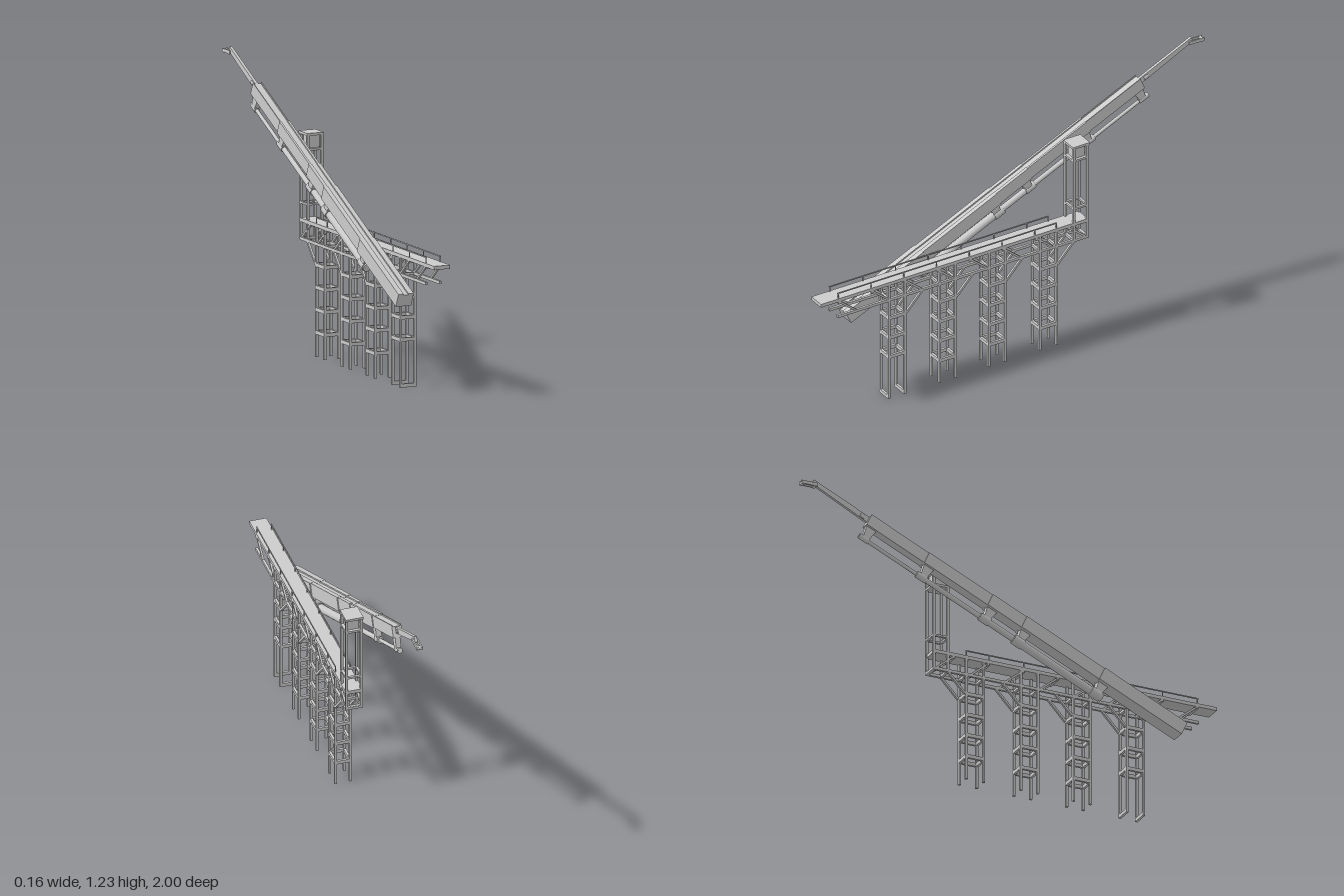
import * as THREE from 'three';

const mat = new THREE.MeshStandardMaterial({ color: 0xcccccc, flatShading: true, side: THREE.DoubleSide });
const smooth = new THREE.MeshStandardMaterial({ color: 0xcccccc });

function add(parent, name, geo, x = 0, y = 0, z = 0, material = mat) {
  const m = new THREE.Mesh(geo, material);
  m.name = name;
  m.position.set(x, y, z);
  parent.add(m);
  return m;
}

// Box given by its limits
function block(parent, name, x0, x1, y0, y1, z0, z1) {
  return add(parent, name, new THREE.BoxGeometry(x1 - x0, y1 - y0, z1 - z0),
    (x0 + x1) / 2, (y0 + y1) / 2, (z0 + z1) / 2);
}

// Square bar in the side plane, from (z0, y0) to (z1, y1)
function strut(parent, name, x, z0, y0, z1, y1, t = 0.01) {
  const len = Math.hypot(z1 - z0, y1 - y0);
  const m = add(parent, name, new THREE.BoxGeometry(t, t, len), x, (y0 + y1) / 2, (z0 + z1) / 2);
  m.rotation.x = -Math.atan2(y1 - y0, z1 - z0);
}

const X0 = 0, X1 = 0.077, T = 0.011;
const SIDES = [X0 + T / 2, X1 - T / 2];

// Horizontal square ring of four bars
function ring(parent, name, y, z0, z1, h = 0.016) {
  for (const x of SIDES) block(parent, name, x - T / 2, x + T / 2, y - h / 2, y + h / 2, z0, z1);
  for (const z of [z0, z1 - T]) block(parent, name, X0, X1, y - h / 2, y + h / 2, z, z + T);
}

function walkway() {
  const g = new THREE.Group();
  g.name = 'walkway';
  block(g, 'deck', X0, X1, 0.563, 0.579, -0.345, 1);
  for (const x of SIDES) {
    block(g, 'lowerChord', x - T / 2, x + T / 2, 0.484, 0.497, -0.345, 0.915);
    block(g, 'handrail', x - 0.002, x + 0.002, 0.601, 0.606, -0.19, 0.915);
    for (let i = 0; i < 8; i++) {
      const z = 0.91 - i * 0.165;
      if (i < 7) block(g, 'railPost', x - 0.002, x + 0.002, 0.575, 0.605, z - 0.16 * (i > 6) - 0.002, z + 0.002);
      strut(g, 'trussDiagonal', x, z, 0.565, z - 0.09, 0.492, 0.009);
    }
    block(g, 'railPost', x - 0.002, x + 0.002, 0.575, 0.605, -0.19, -0.186);
  }
  // Cross ties below the deck
  for (let i = 0; i < 8; i++) block(g, 'crossTie', X0, X1, 0.553, 0.565, 0.9 - i * 0.165, 0.911 - i * 0.165);
  block(g, 'endTie', X0, X1, 0.484, 0.497, -0.345, -0.334);
  return g;
}

function supportTower(zFront, zBack, footed) {
  const g = new THREE.Group();
  g.name = 'supportTower';
  for (const x of SIDES) {
    for (const z of [zFront - T, zBack])
      block(g, 'leg', x - T / 2, x + T / 2, 0, 0.565, z, z + T);
    strut(g, 'kneeBrace', x, zBack, 0.4, zBack - 0.085, 0.49);
  }
  for (const y of footed ? [0.4, 0.303, 0.207] : [0.4, 0.303, 0.207, 0.108])
    ring(g, 'towerRing', y, zBack, zFront);
  ring(g, 'topRing', 0.49, zBack, zFront, 0.012);
  if (footed) for (const z of [zFront - T, zBack]) block(g, 'footBar', X0, X1, 0, 0.016, z, z + T);
  return g;
}

function cabinTower() {
  const g = new THREE.Group();
  g.name = 'cabinTower';
  const z0 = -0.348, z1 = -0.27;
  for (const x of SIDES)
    for (const z of [z0, z1 - T]) block(g, 'post', x - T / 2, x + T / 2, 0.484, 0.95, z, z + T);
  ring(g, 'lowerRing', 0.49, z0, z1, 0.012);
  ring(g, 'middleRing', 0.647, z0, z1, 0.009);
  block(g, 'cabinFloor', X0, X1, 0.879, 0.889, z0, z1);
  block(g, 'cabin', X0 + 0.013, X1 - 0.013, 0.885, 0.945, z0 + 0.013, z1 - 0.013);
  block(g, 'cabinRoof', X0 - 0.001, X1 + 0.001, 0.944, 0.955, z0 - 0.006, z1 + 0.002);
  return g;
}

// Grooved box profile extruded along the boom, from distance a to b
function boomSection(w, top, bottom, groove, a, b) {
  const h = w / 2, k = groove / 2, d = 0.006;
  const s = new THREE.Shape([[-h, bottom], [h, bottom], [h, top], [k, top], [k, top - d],
    [-k, top - d], [-k, top], [-h, top]].map(p => new THREE.Vector2(...p)));
  return new THREE.ExtrudeGeometry(s, { depth: b - a, bevelEnabled: false }).translate(0, 0, -b);
}

// Cylinder lying along the boom, from distance a to b
function rod(parent, name, r, y, a, b) {
  const geo = new THREE.CylinderGeometry(r, r, b - a, 20).rotateX(Math.PI / 2);
  add(parent, name, geo, 0, y, -(a + b) / 2, smooth);
}

function boom() {
  const g = new THREE.Group();
  g.name = 'telescopicBoom';
  g.position.set(-0.046, 0.435, 0.82);
  g.rotation.x = 0.43;
  // Nested sections: width, end distance, groove width
  const stages = [[0.072, 0.43, 0.023], [0.064, 0.835, 0.023], [0.056, 1.01, 0.025],
    [0.049, 1.34, 0.03], [0.042, 1.64, 0.034]];
  const py = -0.116;
  const radii = [0.018, 0.018, 0.014, 0.011, 0.008];
  let start = 0;
  stages.forEach(([w, end, groove], i) => {
    add(g, 'boomSection', boomSection(w, -0.0008 * i, -0.063 + 0.001 * i, groove, start, end));
    // Bracket tying the section end to the ram below
    const e = end - 0.005, s = new THREE.Shape([[e - 0.05, -0.055], [e, -0.055], [e - 0.008, py], [e - 0.036, py]]
      .map(p => new THREE.Vector2(...p)));
    const bw = 0.034 - 0.003 * i;
    const geo = new THREE.ExtrudeGeometry(s, { depth: bw, bevelEnabled: false })
      .translate(0, 0, -bw / 2).rotateY(Math.PI / 2);
    add(g, 'ramBracket', geo);
    rod(g, 'ramCollar', radii[i] + 0.004, py, e - 0.042, e + 0.008);
    if (i) rod(g, 'ramStage', radii[i], py, i === 1 ? 0.375 : start - 0.01, end + 0.005);
    start = end;
  });
  // Slim tapering jib
  const jib = new THREE.Shape([[1.5, -0.044], [1.93, -0.031], [1.93, -0.01], [1.5, -0.012]]
    .map(p => new THREE.Vector2(...p)));
  add(g, 'jib', new THREE.ExtrudeGeometry(jib, { depth: 0.013, bevelEnabled: false })
    .translate(0, 0, -0.0065).rotateY(Math.PI / 2));
  rod(g, 'jibCollar', 0.011, -0.027, 1.66, 1.68);
  return g;
}

// Forked head with two rollers at the tip
function boomHead() {
  const g = new THREE.Group();
  g.name = 'boomHead';
  g.position.x = -0.046;
  for (const s of [-1, 1])
    block(g, 'cheekPlate', s * 0.01 - 0.003, s * 0.01 + 0.003, 1.2, 1.215, -1, -0.93);
  block(g, 'headEnd', -0.013, 0.013, 1.2, 1.215, -0.945, -0.925);
  for (const z of [-0.99, -0.935])
    add(g, 'roller', new THREE.CylinderGeometry(0.009, 0.009, 0.024, 12).rotateZ(Math.PI / 2), 0, 1.206, z, smooth);
  return g;
}

export function createModel() {
  const model = new THREE.Group();
  model.name = 'telescopicBoomAndWalkway';
  model.add(walkway(), cabinTower(), boom(), boomHead());
  [[0.66, 0.57], [0.406, 0.316], [0.157, 0.066], [-0.1, -0.193]]
    .forEach(([a, b], i) => model.add(supportTower(a, b, i === 0)));
  return model;
}
